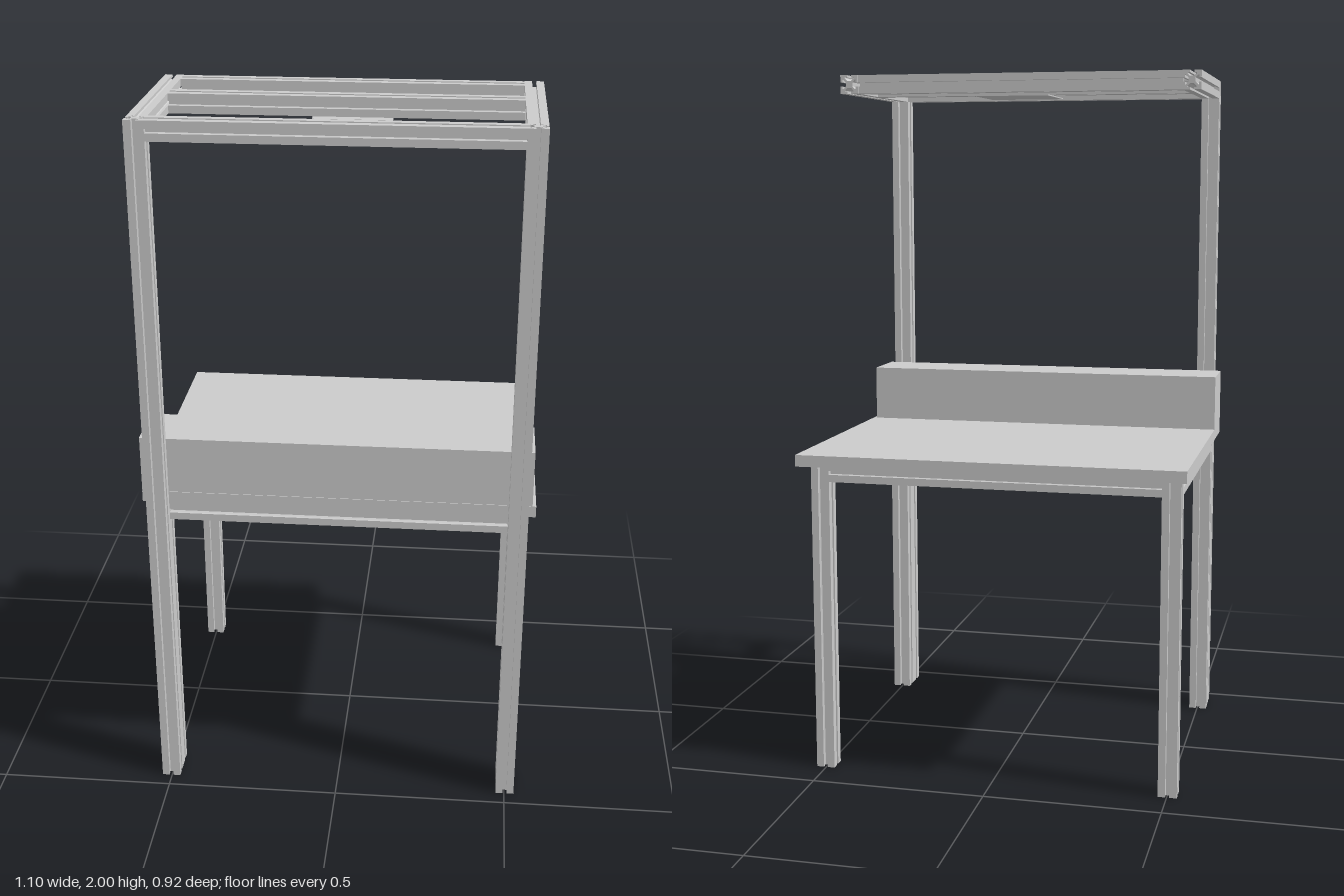
import * as THREE from 'three';

const S = 0.0535;            // side of the slotted profile
const material = new THREE.MeshStandardMaterial({ color: 0xcccccc });

// T-slot cross-section: one side with its slot, turned four times
function slotProfile() {
  const side = [
    [-1, 1], [-0.22, 1], [-0.22, 0.75], [-0.5, 0.75], [-0.5, 0.66], [-0.22, 0.38],
    [0.22, 0.38], [0.5, 0.66], [0.5, 0.75], [0.22, 0.75], [0.22, 1],
  ];
  const points = [];
  for (let k = 0; k < 4; k++) {
    for (const [x, y] of side) {
      points.push(new THREE.Vector2(x, y)
        .multiplyScalar(S / 2)
        .rotateAround(new THREE.Vector2(), -k * Math.PI / 2));
    }
  }
  return new THREE.Shape(points);
}

export function createModel() {
  const group = new THREE.Group();
  const profile = slotProfile();

  // Slotted bar running from a to b along one axis; (x, y, z) is its centre line
  function bar(name, axis, a, b, x, y, z) {
    const geometry = new THREE.ExtrudeGeometry(profile, { depth: b - a, bevelEnabled: false });
    geometry.translate(0, 0, -(b - a) / 2);
    if (axis === 'x') geometry.rotateY(Math.PI / 2);
    if (axis === 'y') geometry.rotateX(-Math.PI / 2);
    const mesh = new THREE.Mesh(geometry, material);
    mesh.name = name;
    mesh.position.set(x, y, z);
    mesh.position[axis] = (a + b) / 2;
    group.add(mesh);
  }

  // Plain block between two corners
  function block(name, x0, x1, y0, y1, z0, z1) {
    const mesh = new THREE.Mesh(new THREE.BoxGeometry(x1 - x0, y1 - y0, z1 - z0), material);
    mesh.name = name;
    mesh.position.set((x0 + x1) / 2, (y0 + y1) / 2, (z0 + z1) / 2);
    group.add(mesh);
  }

  const postX = 0.5015;              // centre line of posts, legs and side bars
  const inner = postX - S / 2;       // cross bars reach this far
  const deckY = 0.904;               // underside of the tabletop
  const edgeZ = 0.403;               // front edge of the table
  const postZ = edgeZ + S / 2, frontZ = edgeZ - S / 2, rearZ = -0.3675;
  const frameY = deckY - S / 2, topY = 2 - S / 2;

  for (const [label, s] of [['left', 1], ['right', -1]]) {
    const x = s * postX;
    bar(label + 'TallPost', 'y', 0, 2, x, 0, postZ);
    bar(label + 'FrontLeg', 'y', 0, deckY, x, 0, frontZ);
    bar(label + 'RearLeg', 'y', 0, deckY, x, 0, rearZ);
    bar(label + 'TableRail', 'z', rearZ + S / 2, frontZ - S / 2, x, frameY, 0);
    bar(label + 'OverheadArm', 'z', -0.088, edgeZ, x, topY, 0);
  }

  // Rails under the table and cross bars of the overhead frame
  bar('frontTableRail', 'x', -inner, inner, 0, frameY, frontZ);
  bar('rearTableRail', 'x', -inner, inner, 0, frameY, rearZ);
  bar('frontOverheadBar', 'x', -inner, inner, 0, topY, postZ);
  bar('middleOverheadBar', 'x', -inner, inner, 0, topY, 0.124);
  bar('rearOverheadBar', 'x', -inner, inner, 0, topY, -0.057);

  // Tabletop, the long box on it and the thin plate under the overhead frame
  block('tabletop', -0.55, 0.55, deckY, 0.937, -0.459, edgeZ);
  block('shelfBox', -0.55, 0.54, 0.937, 1.1, 0.238, edgeZ - 0.002);
  block('overheadPlate', -0.089, 0.127, 1.936, 1.939, -0.073, 0.147);

  return group;
}
